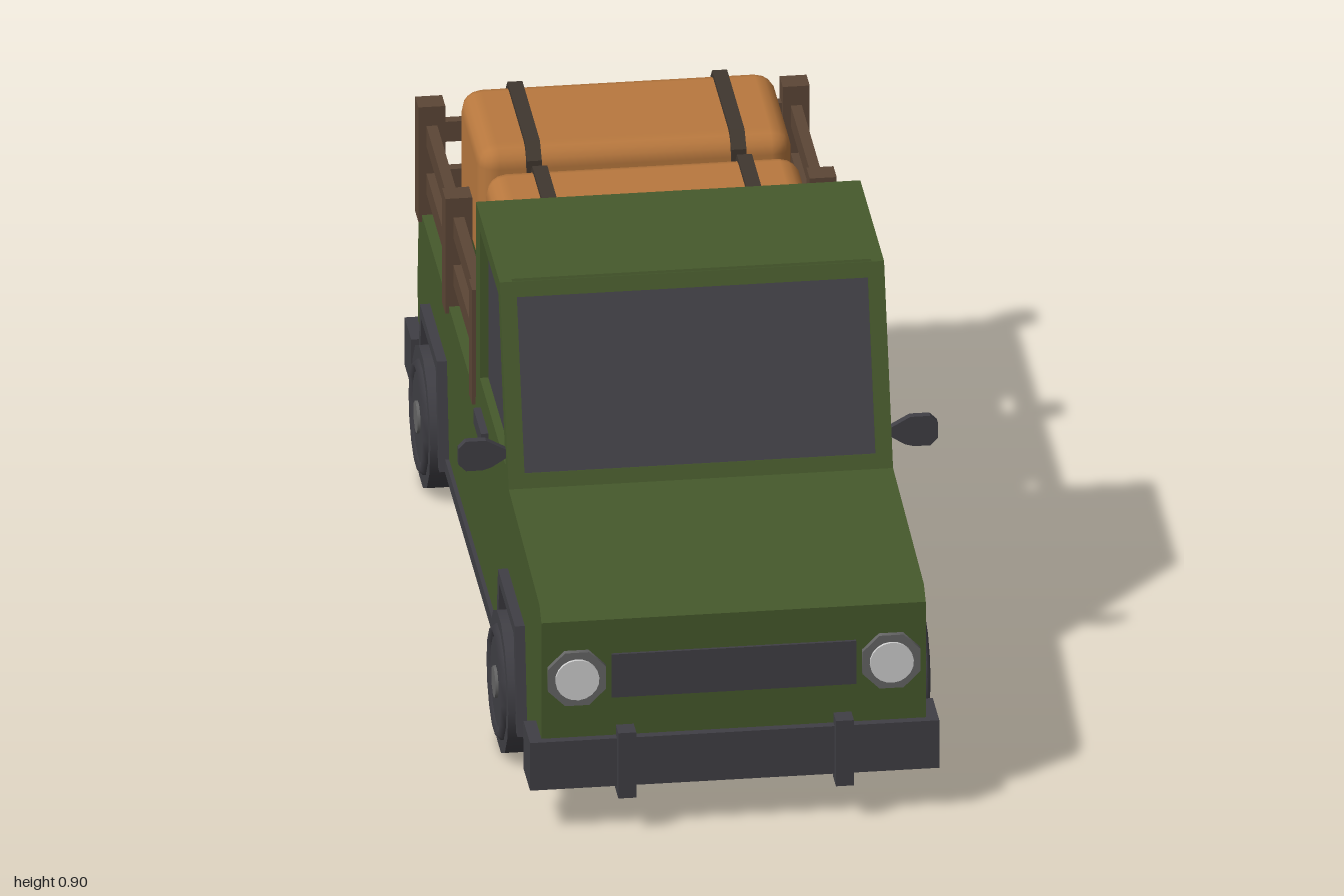
import * as THREE from 'three';
import { RoundedBoxGeometry } from 'three/addons/geometries/RoundedBoxGeometry.js';

const material = (name, color) => {
  const m = new THREE.MeshStandardMaterial({ color });
  m.name = name;
  return m;
};

const shapeOf = (points, hole) => {
  const shape = new THREE.Shape(points.map(([a, b]) => new THREE.Vector2(a, b)));
  if (hole) shape.holes.push(new THREE.Path(hole.map(([a, b]) => new THREE.Vector2(a, b))));
  return shape;
};

const extrude = (shape, depth) => new THREE.ExtrudeGeometry(shape, { depth, bevelEnabled: false, curveSegments: 4 });

// Extrudes a (z, y) outline sideways from x = a to x = b
const sideways = (shape, a, b) => extrude(shape, b - a).rotateY(-Math.PI / 2).translate(b, 0, 0);

export function createModel() {
  const model = new THREE.Group();
  model.name = 'pickupTruck';

  const green = material('bodyGreen', 0x46592c);
  const dark = material('darkTrim', 0x403f45);
  const glass = material('windowGlass', 0x434248);
  const grey = material('metalGrey', 0x666666);
  const lens = material('lampWhite', 0xcfcfcf);
  const red = material('lampRed', 0xa52b1e);
  const wood = material('fenceWood', 0x5c4636);
  const orange = material('cargoOrange', 0xb8783e);
  const strapBrown = material('strapBrown', 0x40372f);

  const add = (name, geometry, mat, x = 0, y = 0, z = 0) => {
    const mesh = new THREE.Mesh(geometry, mat);
    mesh.name = name;
    mesh.position.set(x, y, z);
    model.add(mesh);
    return mesh;
  };
  // Box given by its limits on each axis
  const box = (name, mat, [x0, x1], [y0, y1], [z0, z1]) =>
    add(name, new THREE.BoxGeometry(x1 - x0, y1 - y0, z1 - z0), mat, (x0 + x1) / 2, (y0 + y1) / 2, (z0 + z1) / 2);
  // Outline extruded between two x limits, on the left (s = 1) or right (s = -1)
  const sidePart = (name, shape, mat, s, a, b) =>
    add(name, s > 0 ? sideways(shape, a, b) : sideways(shape, -b, -a), mat);

  const axles = [-0.645, 0.57];
  const sides = [1, -1];
  const HALF = 0.385, INNER = 0.36;

  // Lower edge of the sides, notched for the wheels
  const lowerEdge = [[-0.96, 0.115]];
  for (const c of axles) {
    lowerEdge.push([c - 0.15, 0.115], [c - 0.115, 0.307], [c + 0.115, 0.307], [c + 0.15, 0.115]);
  }
  lowerEdge.push([0.96, 0.115]);

  const bodySide = [...lowerEdge, [0.96, 0.46], [0.93, 0.485], [0.45, 0.51], [0.31, 0.9], [-0.06, 0.9],
    [-0.06, 0.465], [-0.95, 0.465], [-0.97, 0.3]];
  const sill = [...lowerEdge, [0.96, 0.34], [-0.96, 0.34]];
  const sideWindow = [[0.4, 0.54], [0.29, 0.865], [0, 0.865], [0, 0.54]];

  // Body core: hood and cab, floor pan, bed floor and tailgate
  add('hoodAndCab', sideways(shapeOf([[0.96, 0.33], [0.96, 0.46], [0.93, 0.485], [0.45, 0.51], [0.437, 0.51],
    [0.297, 0.9], [-0.06, 0.9], [-0.06, 0.33]]), -INNER, INNER), green);
  box('floorPan', green, [-0.3, 0.3], [0.115, 0.33], [-0.93, 0.96]);
  box('bedFloor', grey, [-INNER, INNER], [0.335, 0.35], [-0.92, -0.06]);
  add('tailgate', sideways(shapeOf([[-0.92, 0.115], [-0.92, 0.465], [-0.95, 0.465], [-0.97, 0.3], [-0.96, 0.115]]),
    -INNER, INNER), green);

  // Sloped windshield frame with recessed glass
  const tilt = -Math.atan2(0.14, 0.39);
  const pane = [[-0.352, 0.03], [0.352, 0.03], [0.352, 0.383], [-0.352, 0.383]];
  const frame = [[-INNER, 0], [INNER, 0], [INNER, 0.414], [-INNER, 0.414]];
  add('windshieldFrame', extrude(shapeOf(frame, pane), 0.012).translate(0, 0, -0.012).rotateX(tilt), green, 0, 0.51, 0.45);
  add('windshield', extrude(shapeOf(pane), 0.004).translate(0, 0, -0.012).rotateX(tilt), glass, 0, 0.51, 0.45);
  box('rearWindow', glass, [-0.3, 0.3], [0.53, 0.83], [-0.066, -0.058]);

  // Front grille
  box('grille', dark, [-0.245, 0.245], [0.29, 0.385], [0.958, 0.966]);

  for (const s of sides) {
    sidePart('bodySide', shapeOf(bodySide, sideWindow), green, s, INNER, HALF);
    sidePart('innerSill', shapeOf(sill), green, s, 0.3, INNER);
    sidePart('sideWindow', shapeOf(sideWindow), glass, s, INNER, 0.368);

    // Door handle and mirror
    box('doorHandle', dark, s > 0 ? [0.38, 0.4] : [-0.4, -0.38], [0.45, 0.482], [0.015, 0.135]);
    const mirror = [[0.38, 0.562], [0.415, 0.54], [0.432, 0.535], [0.465, 0.535], [0.48, 0.55],
      [0.48, 0.585], [0.465, 0.6], [0.425, 0.6], [0.38, 0.575]].map(([x, y]) => [x * s, y]);
    add('sideMirror', extrude(shapeOf(mirror), 0.016), dark, 0, 0, 0.392);

    // Wheel arch trims and wheels
    for (const c of axles) {
      const arch = [[-0.172, 0.105], [-0.132, 0.33], [0.132, 0.33], [0.172, 0.105],
        [0.148, 0.105], [0.113, 0.306], [-0.113, 0.306], [-0.148, 0.105]].map(([z, y]) => [z + c, y]);
      sidePart('archTrim', shapeOf(arch), dark, s, 0.37, 0.405);

      const disc = (name, r, w, x, mat, n) =>
        add(name, new THREE.CylinderGeometry(r, r, w, n).rotateZ(Math.PI / 2), mat, s * x, 0.146, c);
      disc('tire', 0.146, 0.105, 0.3675, dark, 14);
      add('tireLip', new THREE.TorusGeometry(0.108, 0.012, 4, 14).rotateY(Math.PI / 2), dark, s * 0.419, 0.146, c);
      disc('rim', 0.092, 0.006, 0.422, dark, 14);
      disc('hub', 0.033, 0.01, 0.426, grey, 10);
    }

    // Rocker trim between the arches
    for (const span of [[-0.89, -0.81], [-0.48, 0.405], [0.735, 0.89]]) {
      box('rockerTrim', dark, s > 0 ? [0.37, 0.393] : [-0.393, -0.37], [0.1, 0.13], span);
    }

    // Headlights and tail lights
    const lamp = (name, r, d, n, mat) => add(name,
      new THREE.CylinderGeometry(r, r, d, n).rotateY(Math.PI / 8).rotateX(Math.PI / 2), mat, s * 0.315, 0.338, 0.96 + d / 2);
    lamp('headlightRing', 0.063, 0.012, 8, grey);
    lamp('headlightLens', 0.044, 0.018, 20, lens);
    box('tailLight', red, s > 0 ? [0.24, 0.34] : [-0.34, -0.24], [0.265, 0.315], [-0.977, -0.96]);
  }

  // Bumpers with upright guards
  for (const f of sides) {
    const along = (a, b) => (f > 0 ? [a, b] : [-b, -a]);
    box('bumper', dark, [-0.41, 0.41], [0.1, 0.205], along(0.875, 0.977));
    for (const s of sides) {
      box('bumperGuard', dark, [s * 0.218 - 0.018, s * 0.218 + 0.018], [0.083, 0.227], along(0.95, 1));
    }
  }

  // Wooden fence around the bed
  const rails = [[0.512, 0.556], [0.617, 0.661]];
  for (const s of sides) {
    for (const z of [-0.09, -0.508, -0.928]) {
      box('fencePost', wood, [s * 0.365 - 0.027, s * 0.365 + 0.027], [0.45, 0.703], [z - 0.025, z + 0.025]);
    }
    for (const y of rails) box('sideRail', wood, [s * 0.365 - 0.011, s * 0.365 + 0.011], y, [-0.93, -0.09]);
  }
  for (const y of rails) box('rearRail', wood, [-0.365, 0.365], y, [-0.939, -0.917]);

  // Strapped cargo: two stacks, each a low bundle under a tall one
  const strap = (w, h, c) => {
    const ring = (a, b, k) => [[-a + k, -b], [a - k, -b], [a, -b + k], [a, b - k], [a - k, b], [-a + k, b], [-a, b - k], [-a, -b + k]];
    return sideways(shapeOf(ring(w / 2, h / 2, c), ring(w / 2 - 0.016, h / 2 - 0.016, c)), -0.015, 0.015);
  };
  const cargo = (name, [w, y0, y1, d], z, strapX) => {
    const y = (y0 + y1) / 2, h = y1 - y0;
    add(name, new RoundedBoxGeometry(w, h, d, 2, 0.042), orange, 0, y, z);
    for (const s of sides) add(name + 'Strap', strap(d + 0.018, h + 0.018, 0.03), strapBrown, s * strapX, y, z);
  };
  for (const z of [-0.33, -0.717]) {
    cargo('lowerCargo', [0.55, 0.36, 0.51, 0.355], z, 0.232);
    cargo('upperCargo', [0.63, 0.485, 0.764, 0.315], z, 0.205);
  }

  return model;
}
